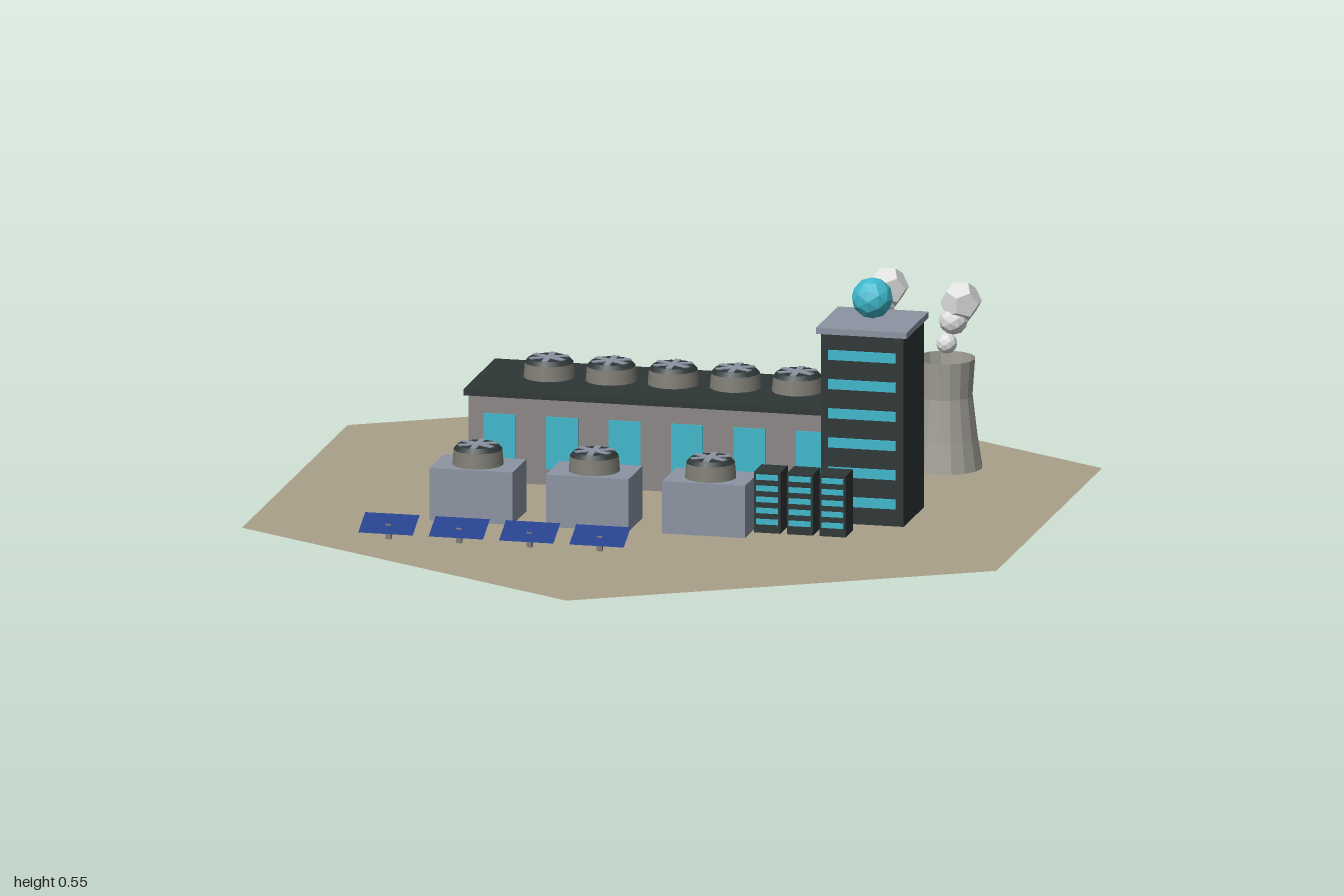
import * as THREE from 'three';

export function createModel() {
  const root = new THREE.Group();
  root.name = 'powerStation';

  const mat = (name, color, opts = {}) => {
    const m = new THREE.MeshStandardMaterial({ color, ...opts });
    m.name = name;
    return m;
  };
  const M = {
    sand: mat('sand', 0xaaa08a, { side: THREE.DoubleSide }),
    wall: mat('wallGrey', 0x8a8785),
    dark: mat('darkSlate', 0x2d3636),
    cyan: mat('cyanGlow', 0x3fb8cc, { flatShading: true }),
    steel: mat('blueSteel', 0x8c94a3),
    concrete: mat('concrete', 0xa09e95, { side: THREE.DoubleSide, flatShading: true }),
    barrel: mat('fanHousing', 0x7f7d75),
    solar: mat('solarBlue', 0x213f8a, { side: THREE.DoubleSide }),
    smoke: mat('steam', 0xdcdcdc, { flatShading: true }),
  };

  const add = (parent, name, geo, material, x = 0, y = 0, z = 0) => {
    const mesh = new THREE.Mesh(geo, material);
    mesh.name = name;
    mesh.position.set(x, y, z);
    parent.add(mesh);
    return mesh;
  };
  // Box given by its base height
  const box = (parent, name, material, w, h, d, x, y, z) =>
    add(parent, name, new THREE.BoxGeometry(w, h, d), material, x, y + h / 2, z);
  const group = (name, x = 0, y = 0, z = 0) => {
    const g = new THREE.Group();
    g.name = name;
    g.position.set(x, y, z);
    root.add(g);
    return g;
  };

  // Hexagonal ground sheet with points at front and back
  const hex = new THREE.CircleGeometry(1, 6, Math.PI / 2);
  hex.rotateX(-Math.PI / 2);
  add(root, 'ground', hex, M.sand);

  // Fan: round housing, dark bevelled lid and six blades
  const fan = (x, y, z) => {
    const g = group('fan', x, y, z);
    add(g, 'fanHousing', new THREE.CylinderGeometry(0.055, 0.058, 0.034, 16), M.barrel, 0, 0.017, 0);
    add(g, 'fanLid', new THREE.CylinderGeometry(0.046, 0.055, 0.01, 16), M.dark, 0, 0.039, 0);
    for (let i = 0; i < 3; i++) {
      const blade = box(g, 'fanBlades', M.steel, 0.09, 0.003, 0.014, 0, 0.0435, 0);
      blade.rotation.y = Math.PI / 2 + (i * Math.PI) / 3;
    }
  };

  // Main hall with roof slab, windows and roof fans
  const hall = group('mainHall', -0.05, 0, -0.195);
  box(hall, 'hallWalls', M.wall, 0.86, 0.198, 0.28, 0, 0, 0);
  box(hall, 'hallRoof', M.dark, 0.88, 0.014, 0.3, 0, 0.197, 0);
  for (let i = 0; i < 6; i++) {
    box(hall, 'hallWindow', M.cyan, 0.073, 0.12, 0.006, (i - 2.5) * 0.1433, 0.037, 0.141);
  }
  for (let i = 0; i < 5; i++) fan(-0.333 + i * 0.1425, 0.21, -0.21);

  // Control tower with light bands and globe
  const tower = group('controlTower', 0.472, 0, 0.05);
  box(tower, 'towerBody', M.dark, 0.19, 0.435, 0.19, 0, 0, 0);
  box(tower, 'towerCap', M.steel, 0.208, 0.014, 0.208, 0, 0.434, 0);
  for (let i = 0; i < 6; i++) {
    box(tower, 'towerBand', M.cyan, 0.155, 0.022, 0.008, 0, 0.04 + i * 0.067, 0.096);
  }
  add(tower, 'globe', new THREE.IcosahedronGeometry(0.047, 1), M.cyan, 0, 0.498, 0);

  // Ground cooling units
  for (let i = 0; i < 3; i++) {
    const x = -0.381 + i * 0.267;
    box(root, 'coolingUnit', M.steel, 0.19, 0.12, 0.132, x, 0, 0.266);
    fan(x, 0.12, 0.266);
  }

  // Equipment cabinets with indicator bars
  for (let i = 0; i < 3; i++) {
    const g = group('cabinet', 0.285 + i * 0.075, 0, 0.238);
    box(g, 'cabinetBody', M.dark, 0.06, 0.14, 0.07, 0, 0, 0);
    for (let j = 0; j < 5; j++) {
      box(g, 'indicatorBar', M.cyan, 0.05, 0.012, 0.005, 0, 0.02 + j * 0.0255, 0.0365);
    }
  }

  // Tilted solar panels on short posts
  for (let i = 0; i < 4; i++) {
    const g = group('solarPanel', -0.523 + i * 0.1615, 0, 0.523);
    box(g, 'panelPost', M.barrel, 0.012, 0.034, 0.012, 0, 0, 0);
    const sheet = add(g, 'panelSheet', new THREE.PlaneGeometry(0.125, 0.073), M.solar, 0, 0.034, 0);
    sheet.rotation.x = -Math.PI / 2 + 0.44;
  }

  // Waisted cooling towers, open at the top, with rising steam
  const profile = [[0.083, 0], [0.072, 0.07], [0.061, 0.165], [0.067, 0.25]]
    .map(([r, y]) => new THREE.Vector2(r, y));
  for (const [x, z] of [[0.332, -0.53], [0.523, -0.433]]) {
    const g = group('coolingTower', x, 0, z);
    add(g, 'towerShell', new THREE.LatheGeometry(profile, 16), M.concrete);
    add(g, 'steamLow', new THREE.IcosahedronGeometry(0.024, 1), M.smoke, 0.003, 0.284, 0.002);
    add(g, 'steamMiddle', new THREE.IcosahedronGeometry(0.033, 1), M.smoke, 0.016, 0.335, -0.008);
    add(g, 'steamTop', new THREE.DodecahedronGeometry(0.047), M.smoke, 0.031, 0.376, -0.018);
  }

  return root;
}
